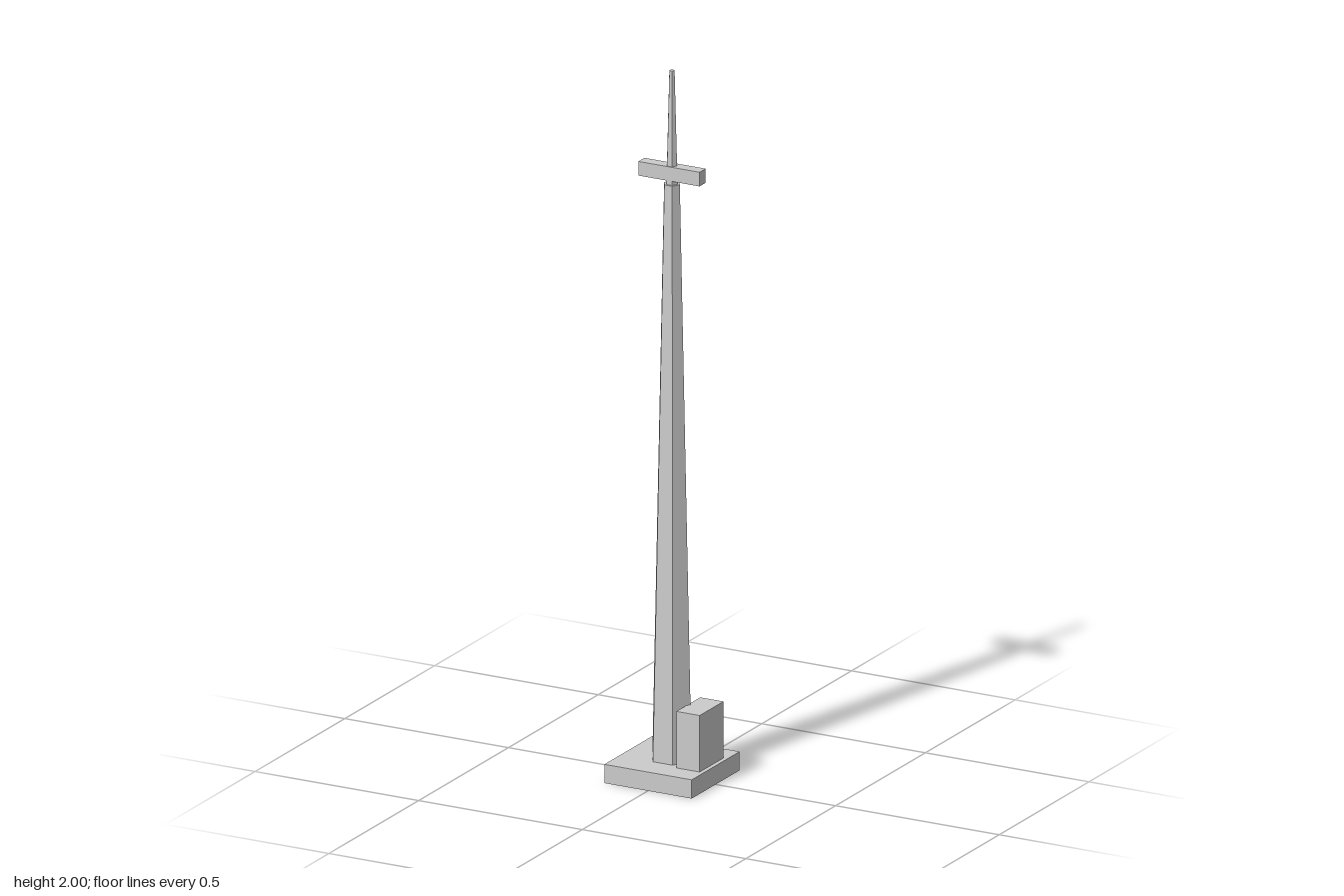
import * as THREE from 'three';

const material = new THREE.MeshStandardMaterial({ color: 0xcccccc, flatShading: true });

export function createModel() {
  const group = new THREE.Group();

  function add(name, geometry, x, y) {
    const mesh = new THREE.Mesh(geometry, material);
    mesh.name = name;
    mesh.position.set(x, y, 0);
    group.add(mesh);
  }

  // Box standing on y0
  const box = (name, w, h, d, x, y0) =>
    add(name, new THREE.BoxGeometry(w, h, d), x, y0 + h / 2);

  // Tapered six-sided column with corners on the x axis
  function column(name, rBottom, rTop, y0, y1) {
    const geometry = new THREE.CylinderGeometry(rTop, rBottom, y1 - y0, 6);
    geometry.rotateY(Math.PI / 2);
    add(name, geometry, 0, (y0 + y1) / 2);
  }

  box('basePlinth', 0.267, 0.053, 0.267, 0, 0);
  box('equipmentHut', 0.071, 0.16, 0.133, 0.0855, 0.053);
  column('tower', 0.06, 0.024, 0.053, 1.68);
  column('spire', 0.017, 0.008, 1.68, 2);
  box('crossArm', 0.187, 0.04, 0.034, 0, 1.692);

  return group;
}
